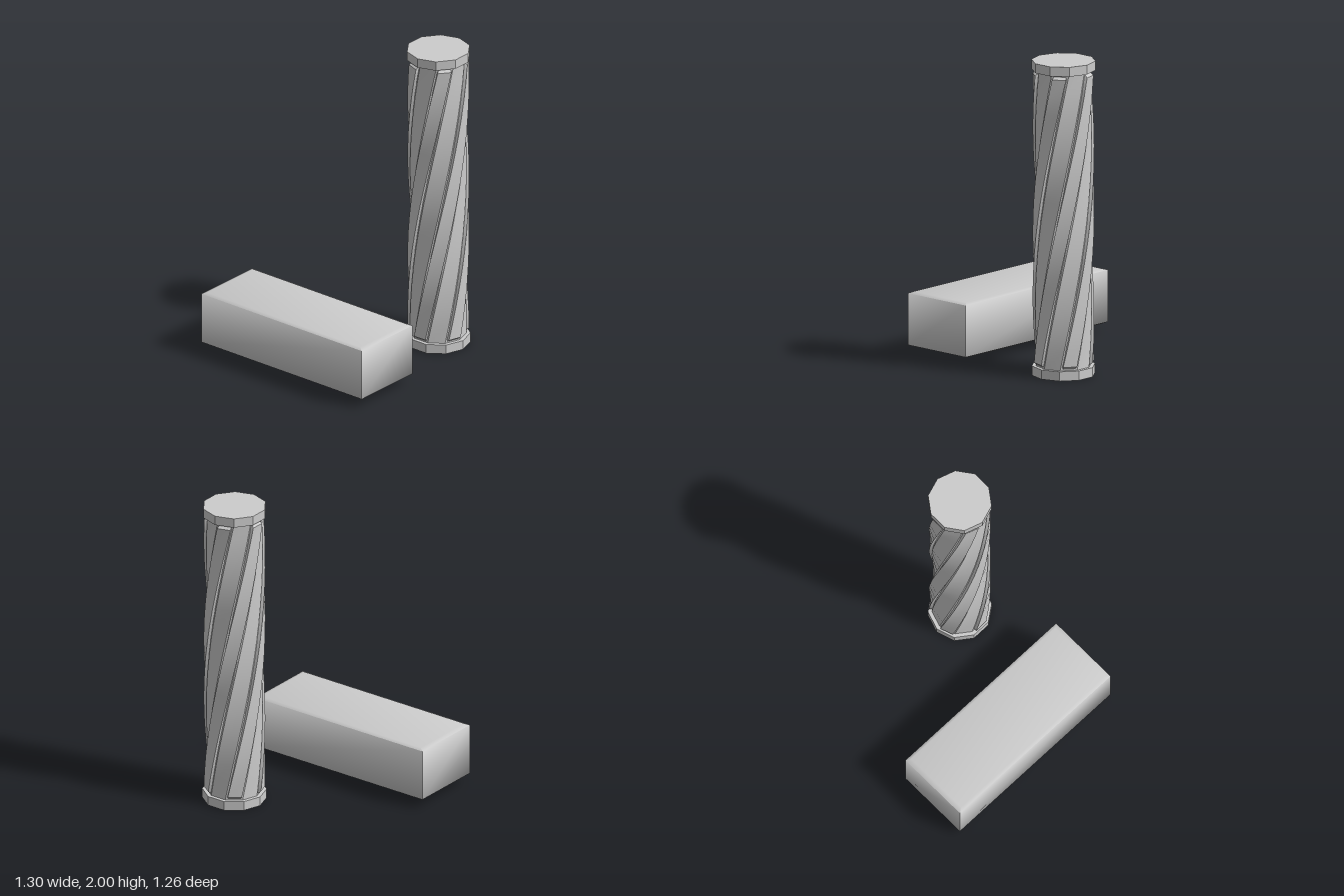
import * as THREE from 'three';
import { toCreasedNormals } from 'three/addons/utils/BufferGeometryUtils.js';

const SIDES = 10;
const TWIST = THREE.MathUtils.degToRad(126);
const Y0 = 0.06, Y1 = 1.94, STEPS = 16;

const material = new THREE.MeshStandardMaterial({ color: 0xcccccc });

function addMesh(parent, name, geometry) {
  const mesh = new THREE.Mesh(geometry, material);
  mesh.name = name;
  parent.add(mesh);
  return mesh;
}

// Skins a stack of rings (counterclockwise seen from above) and closes both ends
function loft(rings, crease) {
  const n = rings[0].length, last = (rings.length - 1) * n, index = [];
  for (let r = 0; r < rings.length - 1; r++) {
    for (let i = 0; i < n; i++) {
      const a = r * n + i, b = r * n + (i + 1) % n;
      index.push(a, b, b + n, a, b + n, a + n);
    }
  }
  for (let i = 1; i < n - 1; i++) {
    index.push(0, i + 1, i, last, last + i, last + i + 1);
  }
  const geometry = new THREE.BufferGeometry().setFromPoints(rings.flat());
  geometry.setIndex(index);
  return toCreasedNormals(geometry, crease);
}

// Places a flat section at height y, turned by the column's twist
function twistedRing(section, y, offset = 0) {
  const turn = offset + TWIST * (y - Y0) / (Y1 - Y0);
  const c = Math.cos(turn), s = Math.sin(turn);
  return section.map(([u, v]) => new THREE.Vector3(u * c - v * s, y, -(u * s + v * c)));
}

function steps(from, to) {
  return Array.from({ length: STEPS + 1 }, (_, i) => from + (to - from) * i / STEPS);
}

function createColumn() {
  const column = new THREE.Group();
  column.name = 'twistedColumn';

  // End discs, each lined up with its end of the twisted shaft
  const disc = new THREE.CylinderGeometry(0.2, 0.2, 0.06, SIDES);
  const discGeometry = toCreasedNormals(disc, 0.5);
  const base = addMesh(column, 'baseDisc', discGeometry);
  base.position.y = 0.03;
  base.rotation.y = Math.PI / 2;
  addMesh(column, 'topDisc', discGeometry).position.y = 1.97;

  // Ten-sided core
  const coreSection = Array.from({ length: SIDES }, (_, i) => {
    const a = i * 2 * Math.PI / SIDES;
    return [0.175 * Math.cos(a), 0.175 * Math.sin(a)];
  });
  addMesh(column, 'shaftCore', loft(steps(Y0, Y1).map(y => twistedRing(coreSection, y)), 0.5));

  // Raised strips on every other face, bevelled at their ends
  const strip = (r, w) => [[0.145, -w], [r, -w], [r, w], [0.145, w]];
  const full = strip(0.186, 0.044), end = strip(0.167, 0.038);
  for (let k = 0; k < SIDES / 2; k++) {
    const offset = (-1 + 4 * k) * Math.PI / SIDES;
    const rings = [
      twistedRing(end, 0.07, offset),
      ...steps(0.085, 1.915).map(y => twistedRing(full, y, offset)),
      twistedRing(end, 1.93, offset),
    ];
    addMesh(column, 'raisedStrip', loft(rings, 0.5));
  }
  return column;
}

function createBlock() {
  // Rectangle rings give a shallow bevel above and below
  const ring = (x, z, y) => [[x, z], [x, -z], [-x, -z], [-x, z]]
    .map(([px, pz]) => new THREE.Vector3(px, y, pz));
  const rings = [
    ring(0.62, 0.222, 0.05),
    ring(0.65, 0.243, 0.06),
    ring(0.65, 0.243, 0.39),
    ring(0.62, 0.222, 0.4),
  ];
  return loft(rings, 1.35);
}

export function createModel() {
  const model = new THREE.Group();
  model.name = 'columnAndBlock';

  const column = createColumn();
  column.position.set(0.376, 0, -0.431);
  model.add(column);

  addMesh(model, 'block', createBlock()).position.z = 0.387;
  return model;
}
